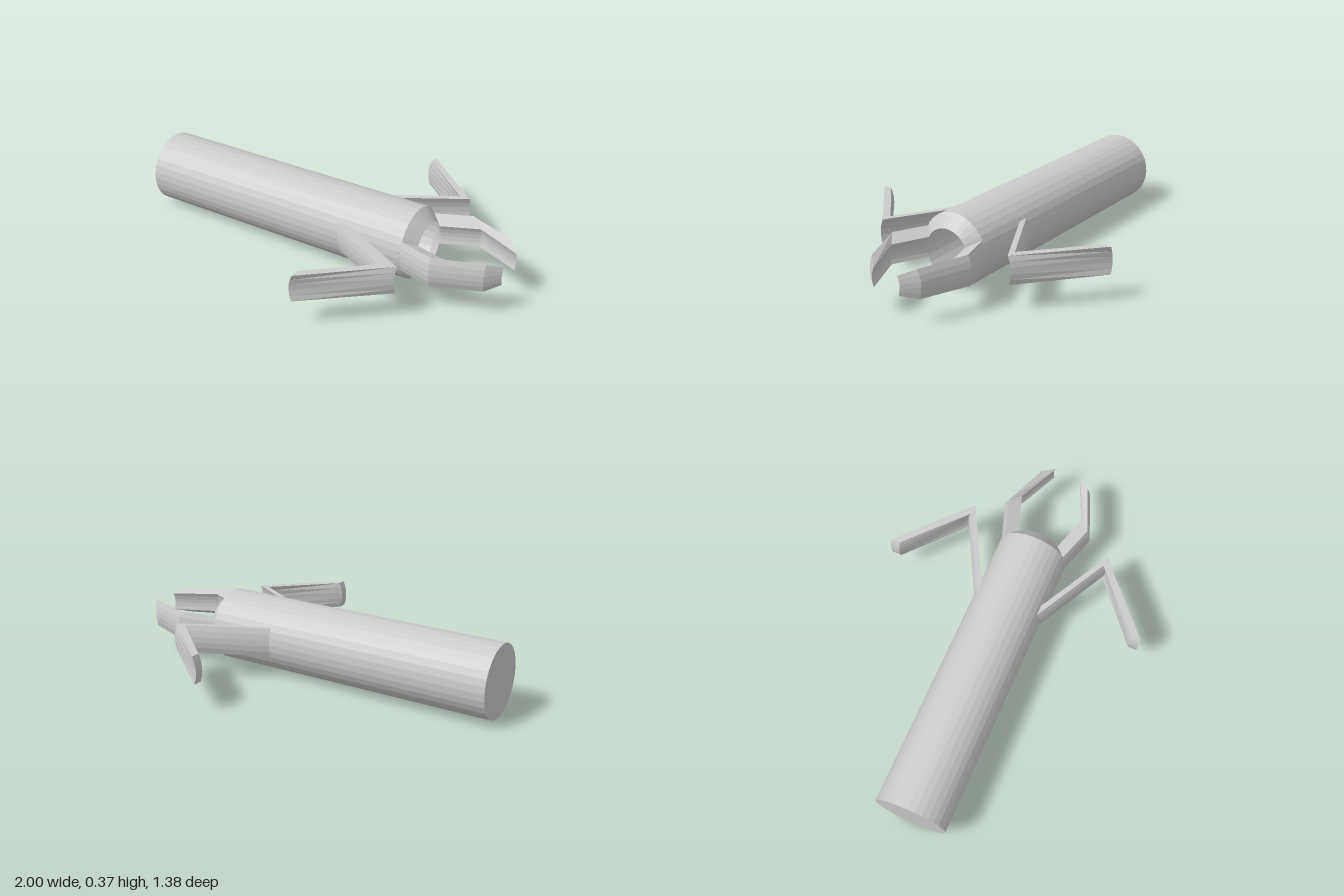
import * as THREE from 'three';

const AXIS_Y = 0.187, R = 0.185, R_IN = 0.123;
const N = 5, LOW = -22 * Math.PI / 180, HIGH = 27 * Math.PI / 180;
const material = new THREE.MeshStandardMaterial({ color: 0xcccccc, flatShading: true, side: THREE.DoubleSide });

// One curved section: points a and b are its two long arcs [x, z, radius], bulging along dir
function section({ a, b, dir, lift }, side) {
  const arc = ([x, z, r]) => Array.from({ length: N + 1 }, (_, i) => {
    const t = LOW + (HIGH - LOW) * i / N, sag = r * (1 - Math.cos(t));
    return [x - dir[0] * sag, AXIS_Y + lift + r * Math.sin(t), side * (z - dir[1] * sag)];
  });
  return [...arc(a), ...arc(b).reverse()];
}

// Closed loft through the sections, capped at both ends
function loft(name, stations, side) {
  const rings = stations.map((s) => section(s, side));
  const out = [], M = 2 * N + 2;
  const tri = (p, q, r) => (side > 0 ? out.push(...p, ...q, ...r) : out.push(...p, ...r, ...q));
  const quad = (p, q, r, s) => { tri(p, q, r); tri(p, r, s); };
  for (let k = 0; k < rings.length - 1; k++) {
    for (let i = 0; i < M; i++) {
      const j = (i + 1) % M;
      quad(rings[k][i], rings[k + 1][i], rings[k + 1][j], rings[k][j]);
    }
  }
  const first = rings[0], last = rings[rings.length - 1];
  for (let i = 0; i < N; i++) {
    quad(first[i], first[i + 1], first[M - 2 - i], first[M - 1 - i]);
    quad(last[i], last[M - 1 - i], last[M - 2 - i], last[i + 1]);
  }
  const geo = new THREE.BufferGeometry();
  geo.setAttribute('position', new THREE.Float32BufferAttribute(out, 3));
  geo.computeVertexNormals();
  const mesh = new THREE.Mesh(geo, material);
  mesh.name = name;
  return mesh;
}

export function createModel() {
  const group = new THREE.Group();
  group.name = 'clawedTube';

  // Hollow tube, closed at the rear, with a tapered open nose
  const profile = [[0, -1], [R, -1], [R, 0.52], [R_IN, 0.58]].map(([r, h]) => new THREE.Vector2(r, h));
  const tube = new THREE.Mesh(new THREE.LatheGeometry(profile, 32), material);
  tube.name = 'tube';
  tube.rotation.z = -Math.PI / 2;
  tube.position.y = AXIS_Y;
  group.add(tube);

  // Fingers grow from the nose taper and bend inward
  const finger = [
    { a: [0.52, 0.184, R], b: [0.58, 0.123, R_IN], dir: [0, 1], lift: 0 },
    { a: [0.705, 0.245, 0.184], b: [0.77, 0.187, R_IN], dir: [0, 1], lift: 0.012 },
    { a: [0.94, 0.152, 0.172], b: [1.0, 0.082, 0.115], dir: [0, 1], lift: 0.01 },
  ];
  // Arms leave the tube wall forward, then fold back outward
  const arm = [
    { a: [0.17, 0.184, R], b: [0.225, 0.184, R], dir: [0, 1], lift: 0 },
    { a: [0.555, 0.392, 0.17], b: [0.61, 0.392, 0.17], dir: [0, 1], lift: 0.016 },
    { a: [0.235, 0.645, 0.17], b: [0.235, 0.692, 0.17], dir: [-1, 0], lift: 0.016 },
  ];
  for (const [side, label] of [[1, 'front'], [-1, 'back']]) {
    group.add(loft(label + 'Finger', finger, side), loft(label + 'Arm', arm, side));
  }
  return group;
}
